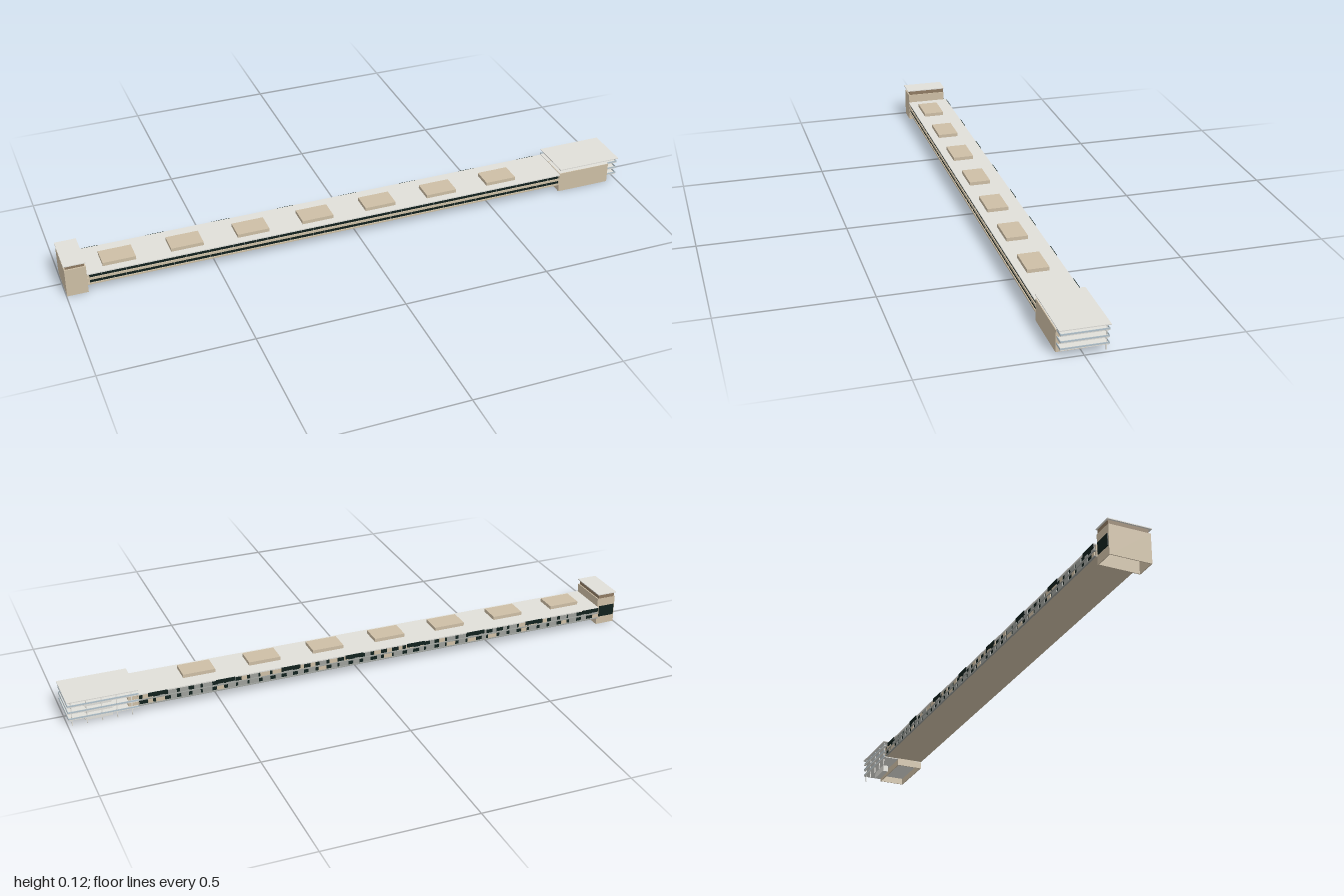
import * as THREE from 'three';

export function createModel() {
  const model = new THREE.Group();
  const mat = (name, color) => Object.assign(new THREE.MeshStandardMaterial({ color }), { name });
  const beige = mat('beige wall', 0xcdbea5);
  const brown = mat('brown band', 0x8e7a62);
  const roofGrey = mat('roof grey', 0xe0dfd9);
  const railBlue = mat('rail blue grey', 0xb3c3cc);
  const glass = mat('dark glass', 0x10201d);
  const panelGrey = mat('panel grey', 0x9da09b);

  // Box given by its limits on each axis
  function box(name, material, [x0, x1], [y0, y1], [z0, z1], parent = model) {
    const mesh = new THREE.Mesh(new THREE.BoxGeometry(x1 - x0, y1 - y0, z1 - z0), material);
    mesh.position.set((x0 + x1) / 2, (y0 + y1) / 2, (z0 + z1) / 2);
    mesh.name = name;
    parent.add(mesh);
  }
  function group(name) {
    const g = new THREE.Group();
    g.name = name;
    model.add(g);
    return g;
  }
  // Four walls around an open underside
  function shell(name, [x0, x1], y, [z0, z1]) {
    const g = group(name), t = 0.003;
    box('frontWall', beige, [x0, x1], y, [z1 - t, z1], g);
    box('backWall', beige, [x0, x1], y, [z0, z0 + t], g);
    box('leftWall', beige, [x1 - t, x1], y, [z0 + t, z1 - t], g);
    box('rightWall', beige, [x0, x0 + t], y, [z0 + t, z1 - t], g);
  }
  let seed = 7;
  const random = () => (seed = (seed * 16807) % 2147483647) / 2147483647;

  // Long raised block
  const X = [-0.928, 0.768];
  box('longBlock', beige, X, [0.027, 0.066], [-0.068, 0.07]);
  box('longRoof', roofGrey, X, [0.066, 0.07], [-0.074, 0.077]);

  // Front: two window bands with slim mullions
  const front = group('frontFacade');
  for (const y of [[0.033, 0.044], [0.053, 0.065]]) {
    box('windowBand', glass, [-0.92, 0.765], y, [0.07, 0.072], front);
    for (let i = 1; i < 42; i++) {
      const x = -0.92 + i * 0.04;
      box('mullion', panelGrey, [x, x + 0.0008], y, [0.07, 0.0725], front);
    }
  }
  box('upperSill', beige, X, [0.0445, 0.0525], [0.07, 0.075], front);
  box('lowerSill', beige, X, [0.027, 0.0325], [0.07, 0.075], front);

  // Back: bays of mixed panels with window groups between them
  const back = group('backFacade');
  for (const y of [[0.031, 0.045], [0.05, 0.065]]) {
    box('backWindowBand', glass, [-0.92, 0.765], y, [-0.07, -0.068], back);
    for (let i = 0; i < 42; i++) {
      const x = -0.92 + i * 0.04;
      const w = 0.014 + random() * 0.02;
      box('backPanel', random() < 0.65 ? panelGrey : beige, [x, x + w], y, [-0.072, -0.068], back);
    }
  }
  box('backFloorEdge', panelGrey, X, [0.046, 0.049], [-0.074, -0.068], back);
  box('backBottomEdge', panelGrey, X, [0.027, 0.03], [-0.074, -0.068], back);
  for (let i = 0; i < 8; i++) {
    const x = -0.925 + i * 0.228;
    box('backScreen', glass, [x, x + 0.065], [0.056, 0.069], [-0.077, -0.074], back);
  }

  // Seven low rooftop boxes
  for (let i = 0; i < 7; i++) {
    const x = -0.815 + i * 0.2272;
    box('rooftopBox', beige, [x - 0.055, x + 0.055], [0.07, 0.082], [-0.022, 0.05]);
  }

  // End tower
  shell('towerWalls', [-0.998, -0.928], [0, 0.1], [-0.065, 0.075]);
  box('towerCeiling', beige, [-0.995, -0.931], [0.096, 0.1], [-0.062, 0.072]);
  box('towerBand', brown, [-0.994, -0.932], [0.1, 0.115], [-0.064, 0.07]);
  box('towerRoof', roofGrey, [-1, -0.928], [0.115, 0.118], [-0.068, 0.079]);
  box('towerWindow', glass, [-0.994, -0.935], [0.03, 0.07], [-0.068, -0.065]);

  // Pavilion with wrap-around balconies
  shell('pavilionWalls', [0.768, 0.962], [0, 0.072], [-0.02, 0.074]);
  box('pavilionCore', roofGrey, [0.85, 0.94], [0, 0.07], [-0.05, -0.03]);
  box('pavilionBackWall', beige, [0.768, 0.8], [0.027, 0.07], [-0.065, -0.02]);
  const balconies = group('balconies');
  for (const y of [0.023, 0.046, 0.069]) {
    box('balconySlab', roofGrey, [0.768, 0.998], [y, y + 0.003], [-0.077, 0.072], balconies);
    box('endRail', railBlue, [0.996, 0.998], [y + 0.003, y + 0.008], [-0.077, 0.072], balconies);
    box('backRail', railBlue, [0.768, 0.996], [y + 0.003, y + 0.008], [-0.077, -0.075], balconies);
    box('frontRail', railBlue, [0.962, 0.996], [y + 0.003, y + 0.008], [0.07, 0.072], balconies);
  }
  box('pavilionRoof', roofGrey, [0.769, 1], [0.087, 0.09], [-0.08, 0.077]);

  // Slim posts along the back
  for (let i = 0; i < 5; i++) {
    const x = 0.79 + i * 0.049;
    box('backPost', roofGrey, [x - 0.0015, x + 0.0015], [0, 0.087], [-0.0725, -0.0695]);
  }
  return model;
}
